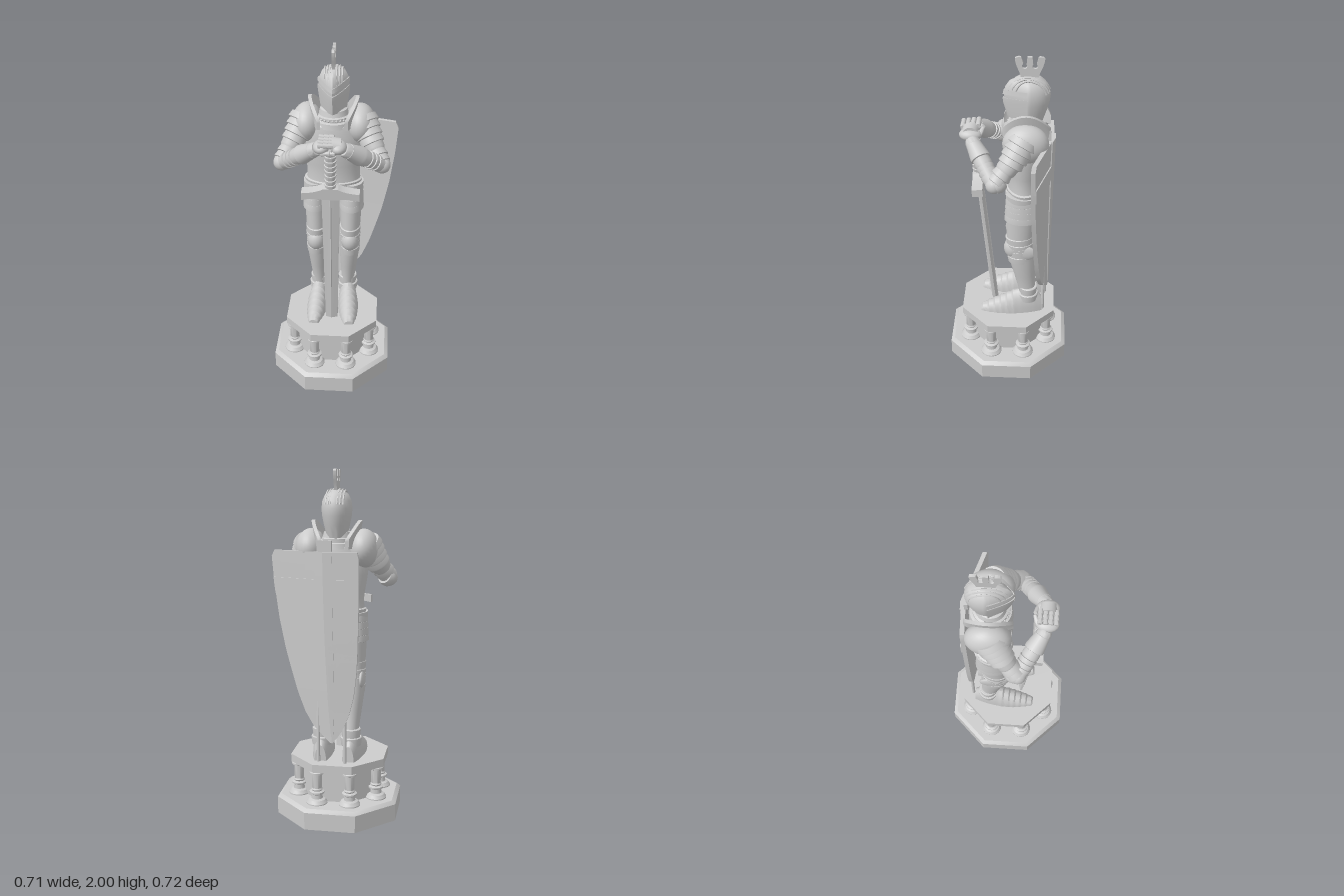
import * as THREE from 'three';
import { toCreasedNormals } from 'three/addons/utils/BufferGeometryUtils.js';

const V = (x, y, z) => new THREE.Vector3(x, y, z);
const material = new THREE.MeshStandardMaterial({ color: 0xcccccc });

function add(parent, name, geometry, x = 0, y = 0, z = 0, crease = 0.55) {
  const mesh = new THREE.Mesh(toCreasedNormals(geometry, crease), material);
  mesh.name = name;
  mesh.position.set(x, y, z);
  parent.add(mesh);
  return mesh;
}

// Move every vertex of a geometry by a rule
function warp(geometry, rule) {
  const p = geometry.attributes.position;
  for (let i = 0; i < p.count; i++) p.setXYZ(i, ...rule(p.getX(i), p.getY(i), p.getZ(i)));
  geometry.computeVertexNormals();
  return geometry;
}

const lathe = (pairs, segments = 28, start = 0, sweep = Math.PI * 2) =>
  new THREE.LatheGeometry(pairs.map(([r, y]) => new THREE.Vector2(r, y)), segments, start, sweep);

// Turned piece between two points; profile pairs are [radius, 0..1 along the way]
function limb(parent, name, a, b, profile, sx = 1, sz = 1) {
  const dir = b.clone().sub(a), len = dir.length();
  const pts = [[0, profile[0][1]], ...profile, [0, profile.at(-1)[1]]].map(([r, t]) => [r, t * len]);
  const mesh = add(parent, name, lathe(pts, 24), a.x, a.y, a.z);
  mesh.quaternion.setFromUnitVectors(V(0, 1, 0), dir.normalize());
  mesh.scale.set(sx, 1, sz);
  return mesh;
}

// Profile of overlapping plates from radius r0 to r1
function plates(n, r0, r1, step, t0 = 0, t1 = 1) {
  const out = [];
  for (let i = 0; i < n; i++) {
    const r = r0 + (r1 - r0) * i / Math.max(1, n - 1), d = (t1 - t0) / n, t = t0 + i * d;
    out.push([r, t], [r + step, t + d * 0.75], [r + step, t + d * 0.93], [r, t + d]);
  }
  return out;
}

// Value of a table column at height y
function lookup(rows, y, col) {
  for (let i = 0; i < rows.length - 1; i++) {
    const [a, b] = [rows[i], rows[i + 1]];
    if (y >= b[0]) return THREE.MathUtils.lerp(a[col], b[col], (a[0] - y) / (a[0] - b[0]));
  }
  return rows.at(-1)[col];
}

function buildBase(root) {
  const g = new THREE.Group();
  g.name = 'base';
  g.position.x = -0.01;
  g.scale.x = 0.975;
  root.add(g);
  const k = 1 / Math.cos(Math.PI / 8), q = Math.PI / 8;
  const octagon = (name, r0, r1, y0, y1) =>
    add(g, name, new THREE.CylinderGeometry(r1 * k, r0 * k, y1 - y0, 8), 0, (y0 + y1) / 2, 0).rotation.y = q;
  // Plinth with a round hole underneath
  const shape = new THREE.Shape(Array.from({ length: 8 }, (_, i) =>
    new THREE.Vector2(Math.cos(q + i * 2 * q), Math.sin(q + i * 2 * q)).multiplyScalar(0.358 * k)));
  shape.holes.push(new THREE.Path().absarc(0, 0, 0.065, 0, Math.PI * 2, true));
  add(g, 'plinth', new THREE.ExtrudeGeometry(shape, { depth: 0.1, bevelEnabled: false })).rotation.x = -Math.PI / 2;
  octagon('plinthChamfer', 0.358, 0.336, 0.1, 0.118);
  octagon('drum', 0.213, 0.213, 0.115, 0.32);
  octagon('topSlab', 0.28, 0.28, 0.313, 0.36);
  const column = [[0.063, 0.115], [0.063, 0.124], [0.05, 0.142], [0.034, 0.148], [0.032, 0.172], [0.044, 0.179],
    [0.044, 0.188], [0.03, 0.194], [0.034, 0.202], [0.029, 0.21], [0.029, 0.29], [0.044, 0.297], [0.044, 0.306], [0.034, 0.315]];
  for (let i = 0; i < 8; i++) {
    const a = q + i * 2 * q;
    add(g, 'column', lathe(column, 20), Math.cos(a) * 0.254, 0, Math.sin(a) * 0.254);
  }
}

function buildLeg(g, s) {
  limb(g, 'thigh', V(s * 0.1, 0.86, -0.065), V(s * 0.105, 1.22, -0.08), [[0.072, 0], [0.08, 0.4], [0.09, 1]], 0.75, 1);
  limb(g, 'tasset', V(s * 0.105, 1.2, -0.08), V(s * 0.106, 1.05, -0.08), plates(4, 0.09, 0.096, 0.005), 0.71, 1);
  limb(g, 'shinPlate', V(s * 0.083, 0.42, -0.125), V(s * 0.1, 0.86, -0.07),
    [[0.055, 0], [0.05, 0.25], [0.062, 0.5], [0.074, 0.75], [0.076, 1]], 0.8, 1);
  // Knee cup with plates above and below and an outer wing
  limb(g, 'kneePlates', V(s * 0.1, 0.75, -0.075), V(s * 0.1, 0.93, -0.065), plates(4, 0.074, 0.077, 0.004), 0.76, 1);
  add(g, 'kneeCup', new THREE.SphereGeometry(1, 20, 14), s * 0.1, 0.84, -0.035).scale.set(0.052, 0.07, 0.06);
  add(g, 'kneeWing', new THREE.SphereGeometry(1, 16, 10), s * 0.143, 0.83, -0.1).scale.set(0.016, 0.05, 0.065);
  // Pointed armoured shoe, flat underneath
  const shoe = warp(new THREE.CylinderGeometry(1, 1, 1, 24, 40), (x, y, z) => {
    const t = y + 0.5, step = t > 0.4 ? 0.011 * ((t * 10) % 1) : 0;
    const w = 0.06 * Math.sin(Math.PI * (0.12 + 0.8 * t)) ** 0.6 + step / 3;
    const h = (0.022 + 0.13 * (t < 0.35 ? 1 : 1 - (t - 0.35) / 0.65)) * Math.min(1, 0.6 + t * 3) + step;
    return [-x * w, Math.max(0, z) * h, -0.205 + 0.37 * t];
  });
  add(g, 'shoe', shoe, s * 0.095, 0.36, 0).rotation.y = s * 0.07;
  limb(g, 'ankle', V(s * 0.085, 0.44, -0.12), V(s * 0.085, 0.54, -0.12), plates(2, 0.058, 0.052, 0.004));
}

function buildArm(g, s) {
  const shoulder = V(s * 0.175, 1.56, -0.08), elbow = V(s * 0.276, 1.393, 0.065), wrist = V(s * 0.07, 1.545, 0.2);
  add(g, 'shoulderPlate', new THREE.SphereGeometry(1, 28, 18), s * 0.148, 1.57, -0.095).scale.set(0.084, 0.108, 0.124);
  limb(g, 'shoulderLames', V(s * 0.155, 1.6, -0.09), V(s * 0.222, 1.48, -0.015), plates(4, 0.083, 0.064, 0.005));
  limb(g, 'upperArm', shoulder, elbow, [[0.062, 0], [0.056, 0.6], ...plates(2, 0.05, 0.048, 0.006, 0.65, 0.95)]);
  add(g, 'elbowCup', new THREE.SphereGeometry(0.047, 20, 14), elbow.x, elbow.y, elbow.z);
  limb(g, 'elbowWing', V(s * 0.252, 1.408, 0.03), V(s * 0.3, 1.373, 0.09), [[0.048, 0], [0.054, 0.2], [0.054, 0.45], [0.043, 0.7]]);
  limb(g, 'forearm', elbow, wrist, [[0.043, 0], ...plates(3, 0.043, 0.043, 0.006, 0.1, 0.4), [0.048, 0.45], [0.04, 0.95], [0.034, 1]]);
  limb(g, 'gauntletCuff', elbow, wrist, [[0.04, 0.55], [0.054, 0.57], [0.054, 0.61], [0.043, 0.85], [0.043, 0.88], [0.034, 0.9], [0.032, 1]]);
}

function buildHands(g) {
  for (const s of [-1, 1]) {
    add(g, s > 0 ? 'leftHand' : 'rightHand', new THREE.SphereGeometry(1, 20, 14), s * 0.045, 1.56, 0.205)
      .scale.set(0.045, 0.034, 0.062);
    limb(g, 'thumb', V(s * 0.06, 1.555, 0.16), V(s * 0.005, 1.58, 0.138), [[0.012, 0], [0.014, 0.5], [0.01, 1]]);
  }
  add(g, 'handBackPlate', new THREE.CylinderGeometry(0.05, 0.044, 0.05, 20), 0.035, 1.565, 0.205).rotation.z = Math.PI / 2;
  // Jointed fingers folded across the pommel
  for (let i = 0; i < 4; i++) {
    const z = 0.165 + i * 0.028, y = 1.598 - i * 0.004;
    limb(g, 'finger', V(0.02, y, z), V(-0.062, y, z), plates(3, 0.012, 0.011, 0.003));
    limb(g, 'lowerFinger', V(-0.05, y - 0.045, z), V(0.03, y - 0.045, z), plates(3, 0.012, 0.011, 0.003));
  }
}

function buildTorso(g) {
  const body = [[0, 1.12], [0.16, 1.14], [0.168, 1.17], [0.161, 1.172], [0.168, 1.2], [0.159, 1.202], [0.165, 1.235],
    [0.153, 1.24], [0.15, 1.29], [0.157, 1.34], [0.172, 1.43], [0.176, 1.52], [0.16, 1.58], [0.11, 1.625], [0, 1.65]];
  add(g, 'breastplate', lathe(body, 36), 0, 0, -0.09).scale.z = 0.66;
  // Neck guard with a rolled rim
  add(g, 'neckGuard', lathe([[0.115, 1.57], [0.11, 1.6], [0.095, 1.605], [0.095, 1.625], [0.083, 1.63], [0.075, 1.66], [0, 1.69]]), 0, 0, -0.09);
  for (let i = 0; i < 15; i++) {
    const a = (i / 14 - 0.5) * Math.PI;
    add(g, 'rivet', new THREE.SphereGeometry(0.007, 8, 6), Math.sin(a) * 0.097, 1.615, -0.09 + Math.cos(a) * 0.097);
  }
  // Upright flared guards beside the neck
  for (const s of [-1, 1]) {
    const guard = warp(new THREE.BoxGeometry(1, 1, 1, 1, 5, 20), (x, y, z) => {
      const arc = Math.cos(z * Math.PI) ** 0.8, up = y + 0.5;
      return [s * (0.075 + 0.028 * arc + 0.028 * up * arc + s * x * 0.02), 1.575 + up * (0.05 + 0.1 * arc), -0.097 + z * 0.255];
    });
    add(g, 'neckWing', guard);
  }
}

function buildHelmet(g) {
  // Round behind, pointed like a keel in front
  const beak = (x, y, z) => {
    const r = Math.hypot(x, z) || 1e-6;
    return [x, y, z > 0 ? 1.5 * r * (1 - (Math.abs(x) / r) ** 1.45) : 1.4 * z];
  };
  const skull = [[0, 1.62], [0.056, 1.63], [0.063, 1.66], [0.072, 1.7], [0.082, 1.75], [0.085, 1.79], [0.08, 1.83],
    [0.065, 1.864], [0.038, 1.886], [0, 1.893]];
  add(g, 'helmet', warp(lathe(skull, 40), beak), 0, 0, -0.1, 0.8);
  const visor = [[0.066, 1.655], [0.072, 1.655], [0.088, 1.74], [0.089, 1.765], [0.08, 1.765], [0.066, 1.655]];
  add(g, 'visor', warp(lathe(visor, 32, -Math.PI / 2, Math.PI), (x, y, z) => beak(x, y + (y > 1.7 ? Math.abs(x) * 0.3 : 0), z)), 0, 0, -0.1);
  const brow = [[0.082, 1.785], [0.089, 1.785], [0.086, 1.81], [0.078, 1.81]];
  add(g, 'brow', warp(lathe(brow, 32, -Math.PI / 2, Math.PI), (x, y, z) => beak(x, y + Math.abs(x) * 0.3, z)), 0, 0, -0.1);
  // Lengthwise ribs laid over the crown
  for (const x of [-0.048, -0.033, -0.018, 0.018, 0.033, 0.048]) {
    const c = Math.sqrt(1 - (x / 0.087) ** 2), pts = [];
    for (let i = 0; i <= 10; i++) {
      const a = 0.35 + i / 10 * 2.5, fore = Math.cos(a) > 0 ? 0.122 * (1 - (Math.abs(x) / 0.087) ** 1.45) : 0.12 * c;
      pts.push(V(x, 1.78 + Math.sin(a) * 0.112 * c ** 0.45, -0.1 + Math.cos(a) * fore));
    }
    add(g, 'crownRib', new THREE.TubeGeometry(new THREE.CatmullRomCurve3(pts), 24, 0.0055, 6));
  }
  // Three-pronged crest with keyhole notches
  const crest = new THREE.Shape();
  crest.moveTo(-0.15, 1.87);
  crest.lineTo(-0.065, 1.87);
  crest.bezierCurveTo(-0.055, 1.93, -0.035, 1.94, -0.03, 1.99);
  crest.quadraticCurveTo(-0.04, 2.002, -0.062, 1.998);
  crest.lineTo(-0.073, 1.965);
  crest.absarc(-0.08, 1.948, 0.014, 1.0, -3.9, true);
  crest.lineTo(-0.094, 1.998);
  crest.lineTo(-0.12, 1.998);
  crest.lineTo(-0.123, 1.965);
  crest.absarc(-0.134, 1.948, 0.014, 0.8, -4.1, true);
  crest.lineTo(-0.152, 1.998);
  crest.quadraticCurveTo(-0.175, 2.002, -0.185, 1.99);
  crest.bezierCurveTo(-0.18, 1.94, -0.16, 1.93, -0.15, 1.87);
  add(g, 'crest', new THREE.ExtrudeGeometry(crest, { depth: 0.016, bevelEnabled: false }), 0.008).rotation.y = -Math.PI / 2;
}

function buildSword(g) {
  const sword = new THREE.Group();
  sword.name = 'sword';
  sword.position.set(0, 0.36, 0.085);
  sword.rotation.x = 0.091;
  g.add(sword);
  // Tapered blade, thicker along its middle
  const taper = (w, d) => (x, y, z) => {
    const t = y + 0.5, k = 0.72 + 0.28 * t;
    return [x * w * k, t * 0.9, z * d * (1 - Math.abs(x) * 1.3)];
  };
  add(sword, 'blade', warp(new THREE.BoxGeometry(1, 1, 1, 4, 1, 1), taper(0.1, 0.034)), 0, 0, 0, 0.15);
  add(sword, 'bladeRidge', warp(new THREE.BoxGeometry(1, 1, 1, 2, 1, 1), taper(0.028, 0.04)), 0, 0, 0, 0.15);
  const guard = new THREE.Shape();
  guard.moveTo(-0.16, 0.875);
  guard.quadraticCurveTo(-0.08, 0.895, -0.045, 0.88);
  guard.lineTo(0.045, 0.88);
  guard.quadraticCurveTo(0.08, 0.895, 0.16, 0.875);
  guard.lineTo(0.16, 0.92);
  guard.quadraticCurveTo(0.08, 0.925, 0.04, 0.95);
  guard.lineTo(-0.04, 0.95);
  guard.quadraticCurveTo(-0.08, 0.925, -0.16, 0.92);
  add(sword, 'crossguard', new THREE.ExtrudeGeometry(guard, { depth: 0.06, bevelEnabled: false }), 0, 0, -0.03);
  limb(sword, 'grip', V(0, 0.94, 0), V(0, 1.18, 0), plates(8, 0.026, 0.028, 0.006));
  add(sword, 'pommel', new THREE.SphereGeometry(0.036, 20, 14), 0, 1.205, 0);
}

function buildShield(root) {
  // Outline rows: height, left edge, spine, right edge
  const rows = [[1.56, -0.142, 0.045, 0.335], [1.54, -0.15, 0.045, 0.352], [1.38, -0.152, 0.043, 0.338], [1.18, -0.15, 0.038, 0.31],
    [1.0, -0.146, 0.032, 0.272], [0.88, -0.14, 0.026, 0.238], [0.76, -0.126, 0.02, 0.202], [0.65, -0.1, 0.012, 0.158],
    [0.57, -0.07, 0.005, 0.108], [0.52, -0.04, 0, 0.055], [0.48, -0.006, 0, 0.006]];
  const panel = (name, u0, u1, y0, y1, front, back) =>
    add(root, name, warp(new THREE.BoxGeometry(1, 1, 1, 12, 32, 1), (x, v, d) => {
      const u = u0 + (x + 0.5) * (u1 - u0), y = y0 + (v + 0.5) * (y1 - y0);
      const mid = lookup(rows, y, 2), px = mid + Math.abs(u) * (lookup(rows, y, u < 0 ? 1 : 3) - mid);
      const bend = u < 0 ? (mid - px) * 0.03 : (px - mid) * 0.31;
      return [px, y, -0.238 + bend + (d > 0 ? front : -back) + (1.565 - y) * 0.01];
    }), 0, 0, 0, 0.3);
  panel('shield', -1, 1, 0.48, 1.56, 0.014, 0.01);
  panel('shieldCrossUpright', -0.25, 0.18, 0.52, 1.56, 0, 0.016);
  panel('shieldCrossBar', -1, 1, 1.32, 1.41, 0, 0.016);
  add(root, 'shieldStrap', new THREE.BoxGeometry(0.08, 0.06, 0.02), 0.04, 1.59, -0.22);
  // Thin posts carrying the shield
  for (const [x, z] of [[0.08, -0.21], [-0.075, -0.222]])
    add(root, 'shieldPost', new THREE.CylinderGeometry(0.01, 0.01, 0.4, 10), x, 0.55, z);
}

export function createModel() {
  const root = new THREE.Group();
  root.name = 'knightStatue';
  buildBase(root);
  const knight = new THREE.Group();
  knight.name = 'knight';
  knight.position.x = -0.01;
  root.add(knight);
  for (const s of [-1, 1]) {
    buildLeg(knight, s);
    buildArm(knight, s);
  }
  buildTorso(knight);
  buildHelmet(knight);
  buildHands(knight);
  buildSword(knight);
  buildShield(root);
  return root;
}
